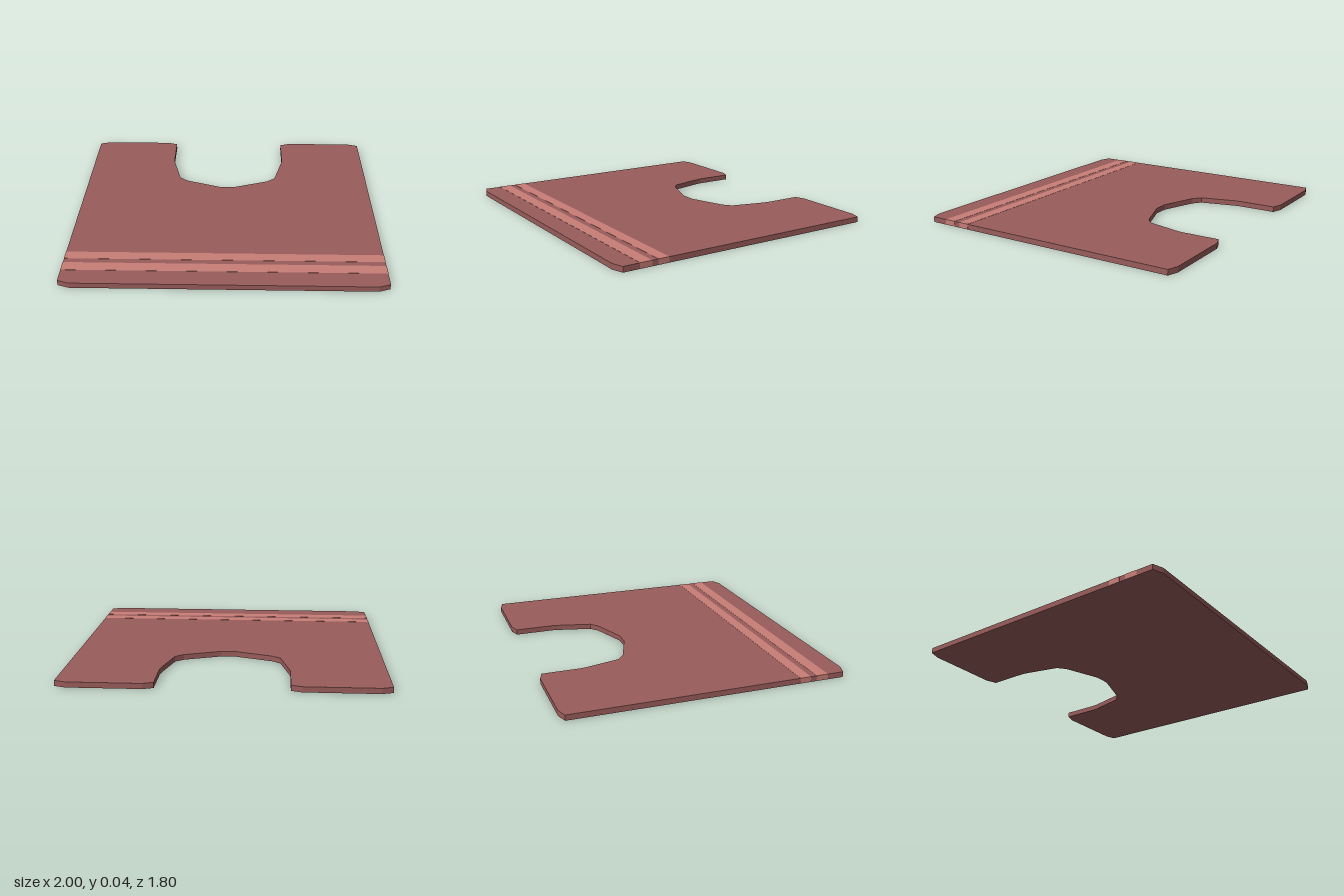
import * as THREE from 'three';

const THICKNESS = 0.035;

export function createModel() {
  const group = new THREE.Group();
  group.name = 'contourMat';
  const baseMaterial = new THREE.MeshStandardMaterial({ color: 0x985c5a, flatShading: true });
  const stripeMaterial = new THREE.MeshStandardMaterial({ color: 0xc77d76, flatShading: true });

  // Left half of the outline as [x, z], from the front edge round to the cutout
  const half = [
    [0.93, 0.9], [1, 0.875], [1, -0.88], [0.93, -0.903], [0.47, -0.903], [0.404, -0.88],
    [0.404, -0.63], [0.398, -0.59], [0.342, -0.365], [0.288, -0.322], [0.05, -0.237],
  ];
  const outline = [...half, ...half.map(([x, z]) => [-x, z]).reverse()];
  const shape = new THREE.Shape(outline.map(([x, z]) => new THREE.Vector2(x, -z)));

  // Flat mat with clipped corners and a cutout at the back
  const matGeometry = new THREE.ExtrudeGeometry(shape, { depth: THICKNESS, bevelEnabled: false });
  matGeometry.rotateX(-Math.PI / 2);
  const mat = new THREE.Mesh(matGeometry, baseMaterial);
  mat.name = 'mat';
  group.add(mat);

  // Two pale stripes across the top and side edges, just clear of the mat's faces
  [['innerStripe', 0.578, 0.65], ['outerStripe', 0.69, 0.768]].forEach(([name, z0, z1]) => {
    const stripe = new THREE.Mesh(new THREE.BoxGeometry(2.002, THICKNESS, z1 - z0), stripeMaterial);
    stripe.position.set(0, THICKNESS / 2 + 0.001, (z0 + z1) / 2);
    stripe.name = name;
    group.add(stripe);
  });

  return group;
}
